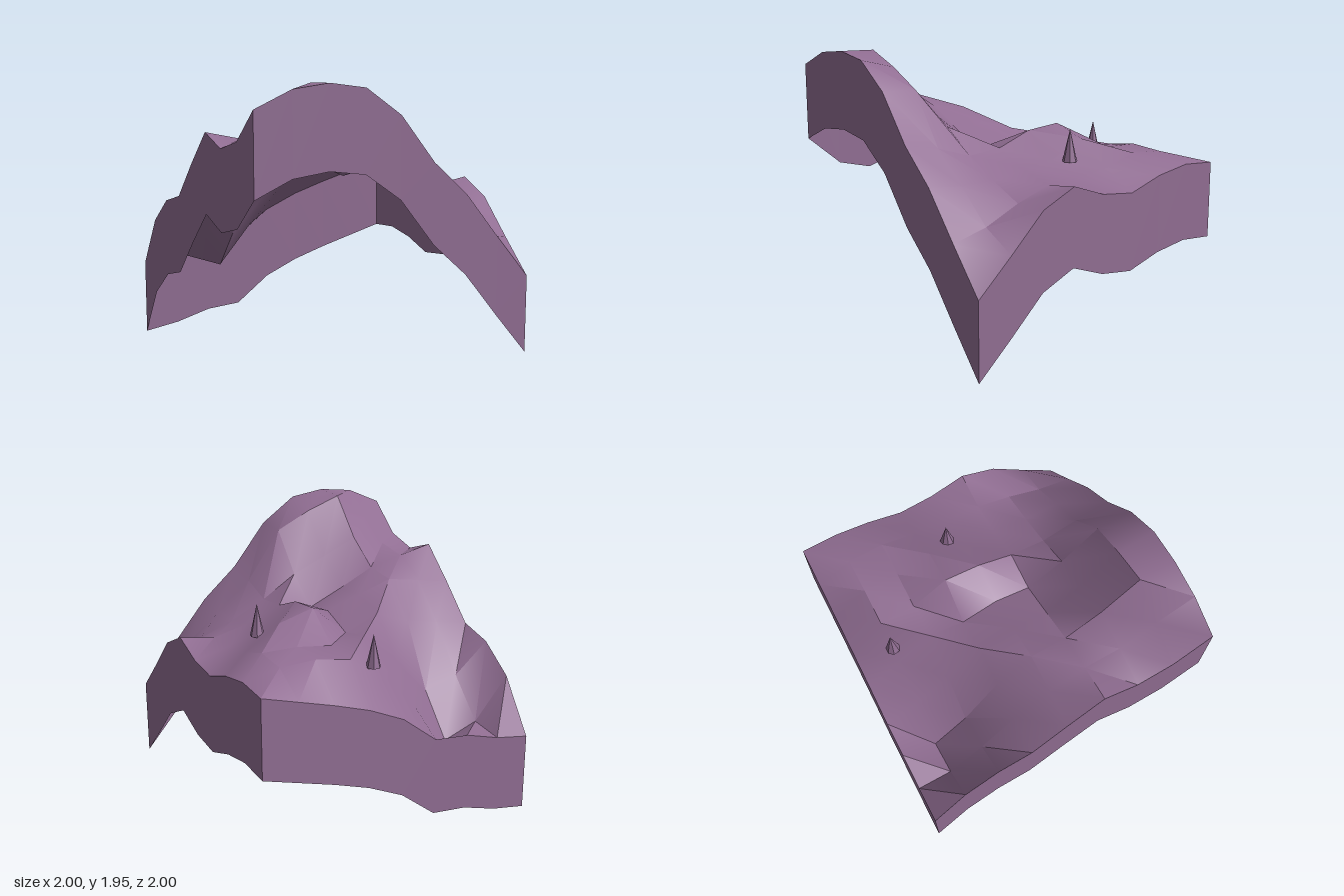
import * as THREE from 'three';
import { toCreasedNormals } from 'three/addons/utils/BufferGeometryUtils.js';

// Surface heights on a 0.25 grid: rows run back to front, columns from x = -1 to x = 1
const HEIGHTS = [
  [0.53, 0.57, 0.64, 0.66, 0.85, 0.96, 1.04, 1.11, 1.18],
  [0.89, 0.60, 0.51, 0.80, 1.06, 1.22, 1.26, 1.25, 1.20],
  [1.07, 0.86, 0.79, 1.05, 1.27, 1.24, 1.27, 1.27, 1.16],
  [1.135, 1.18, 1.23, 1.32, 1.22, 1.43, 1.36, 1.20, 1.08],
  [1.385, 1.43, 1.47, 1.39, 1.31, 1.41, 1.25, 1.17, 1.11],
  [1.615, 1.56, 1.50, 1.38, 1.27, 1.32, 1.22, 1.16, 1.20],
  [1.535, 1.60, 1.67, 1.56, 1.455, 1.30, 1.18, 1.08, 1.09],
  [1.60, 1.77, 1.94, 1.85, 1.73, 1.38, 1.18, 0.97, 0.85],
  [1.81, 1.92, 1.95, 1.915, 1.74, 1.43, 1.21, 0.91, 0.62],
];
const CELLS = 8;
const WALL_DEPTH = 0.53;

const heightAt = (x, z) => HEIGHTS[Math.round((z + 1) * 4)][Math.round((x + 1) * 4)];

export function createModel() {
  const group = new THREE.Group();
  const purple = new THREE.MeshStandardMaterial({ color: 0x916e93, side: THREE.DoubleSide });
  purple.name = 'dusty purple';

  const add = (name, geometry) => {
    const mesh = new THREE.Mesh(geometry, purple);
    mesh.name = name;
    group.add(mesh);
    return mesh;
  };

  // Hilly top surface
  const ground = new THREE.PlaneGeometry(2, 2, CELLS, CELLS).rotateX(-Math.PI / 2);
  const p = ground.attributes.position;
  for (let i = 0; i < p.count; i++) p.setY(i, heightAt(p.getX(i), p.getZ(i)));
  add('terrainSurface', toCreasedNormals(ground, 0.55));

  // Side skirts that follow the edge of the surface; the underside stays open
  ['frontWall', 'leftWall', 'backWall', 'rightWall'].forEach((name, k) => {
    const wall = new THREE.PlaneGeometry(2, 1, CELLS, 1).translate(0, 0, 1).rotateY(k * Math.PI / 2);
    const w = wall.attributes.position;
    for (let i = 0; i < w.count; i++) {
      const drop = w.getY(i) < 0 ? WALL_DEPTH : 0;
      w.setY(i, heightAt(w.getX(i), w.getZ(i)) - drop);
    }
    add(name, wall);
  });

  // Small pointed spikes standing on the terrain
  [[0.58, 1.24, -0.08], [0.08, 1.14, -0.75]].forEach(([x, y, z], i) => {
    const cone = new THREE.ConeGeometry(0.05, 0.22, 7).translate(0, 0.11, 0);
    add('spike' + (i + 1), toCreasedNormals(cone, 0.5)).position.set(x, y, z);
  });

  return group;
}
